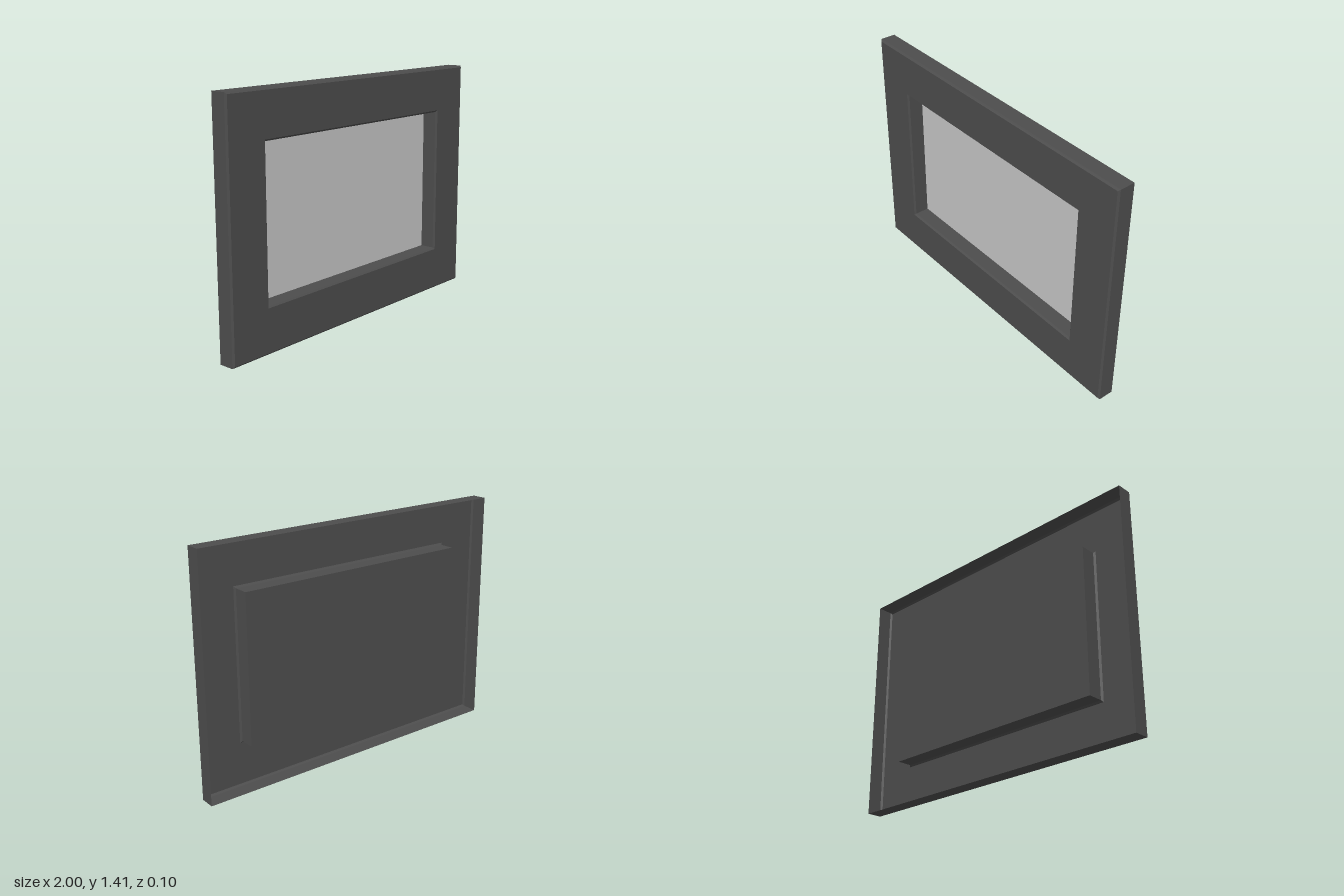
import * as THREE from 'three';

const W = 1, H = 0.7075; // half width and half height

// Hollow shell joining a series of rectangles, each [half width, half height, z]
function rectLoft(sections) {
  const corners = ([w, h, z]) => [[-w, -h, z], [w, -h, z], [w, h, z], [-w, h, z]];
  const pos = [];
  for (let s = 0; s < sections.length - 1; s++) {
    const a = corners(sections[s]), b = corners(sections[s + 1]);
    for (let i = 0; i < 4; i++) {
      const j = (i + 1) % 4;
      pos.push(...a[i], ...a[j], ...b[j], ...a[i], ...b[j], ...b[i]);
    }
  }
  const geo = new THREE.BufferGeometry();
  geo.setAttribute('position', new THREE.Float32BufferAttribute(pos, 3));
  geo.computeVertexNormals();
  return geo;
}

export function createModel() {
  const group = new THREE.Group();
  group.name = 'pictureFrame';

  const frameMat = new THREE.MeshStandardMaterial({ color: 0x4d4d4d, side: THREE.DoubleSide });
  frameMat.name = 'darkGrey';
  const pictureMat = new THREE.MeshStandardMaterial({ color: 0xc8c8c8 });
  pictureMat.name = 'lightGrey';

  const add = (name, geo, mat, z = 0) => {
    const mesh = new THREE.Mesh(geo, mat);
    mesh.name = name;
    mesh.position.set(0, H, z);
    group.add(mesh);
    return mesh;
  };

  // Frame shell, open at the back: outer wall, bevel, face, bevel, inner wall
  add('frame', rectLoft([
    [W, H, -0.05],
    [W, H, 0.04],
    [W - 0.01, H - 0.01, 0.05],
    [0.745, 0.4475, 0.05],
    [0.735, 0.4375, 0.04],
    [0.735, 0.4375, -0.05],
  ]), frameMat);

  // Recessed panel with its dark back
  add('picture', new THREE.PlaneGeometry(1.47, 0.875), pictureMat, -0.048);
  add('backing', new THREE.PlaneGeometry(1.47, 0.875), frameMat, -0.05).rotation.y = Math.PI;

  return group;
}
